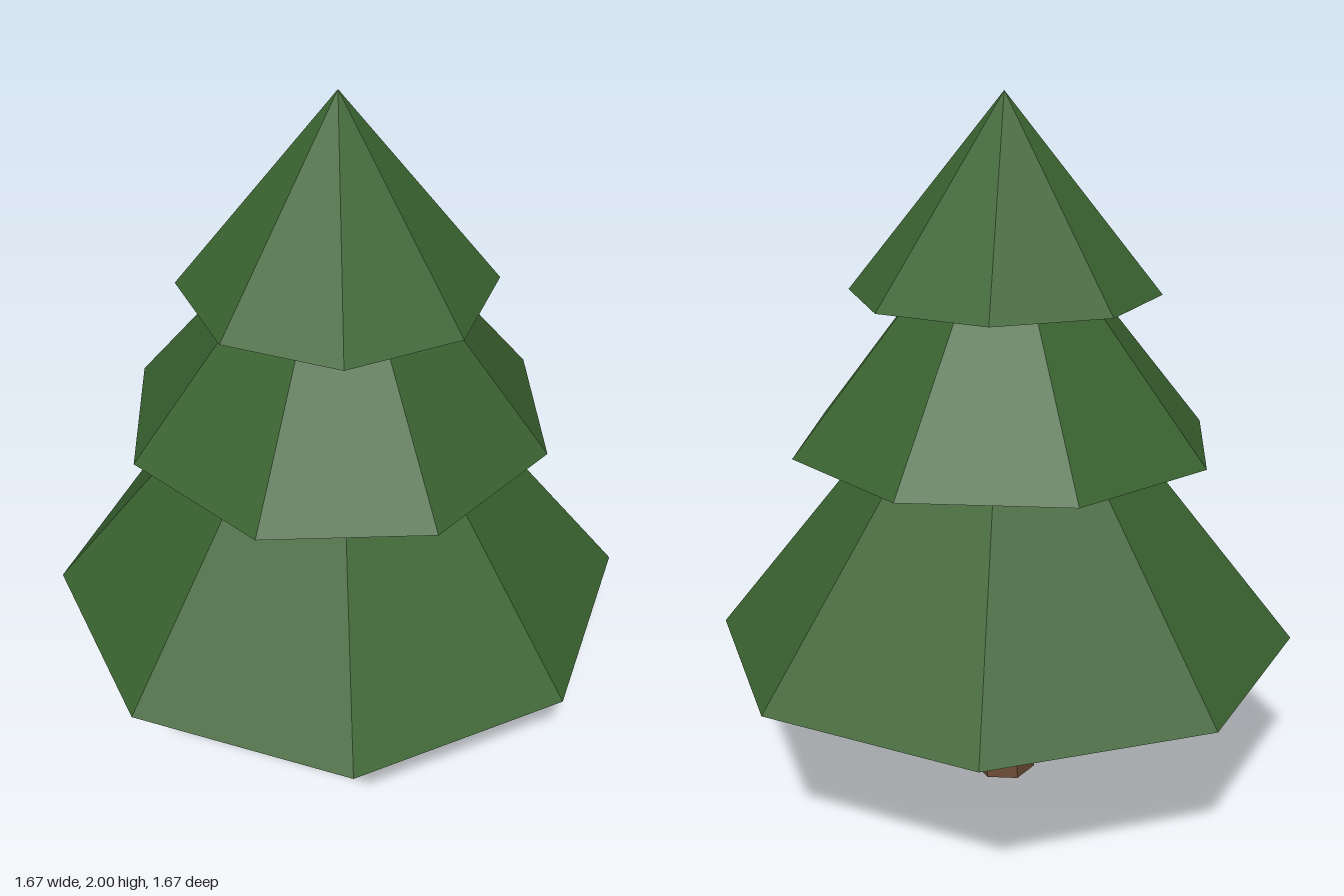
import * as THREE from 'three';

export function createModel() {
  const tree = new THREE.Group();
  tree.name = 'pineTree';

  const needles = new THREE.MeshStandardMaterial({ color: 0x3a6230 });
  needles.name = 'needle green';
  const bark = new THREE.MeshStandardMaterial({ color: 0x6b4c35 });
  bark.name = 'bark brown';

  // Faceted solids: flat normals on every side
  function addPart(name, geometry, material, y, turn) {
    const flat = geometry.toNonIndexed();
    flat.computeVertexNormals();
    const mesh = new THREE.Mesh(flat, material);
    mesh.name = name;
    mesh.position.y = y;
    mesh.rotation.y = turn;
    tree.add(mesh);
  }

  // Tapered six-sided trunk, corners on the x axis
  addPart('trunk', new THREE.CylinderGeometry(0.073, 0.09, 0.5, 6), bark, 0.25, Math.PI / 2);

  // Three eight-sided tiers, each turned a little further than the one below
  const tiers = [
    { name: 'lowerTier', radius: 0.835, base: 0.45, tip: 1.5 },
    { name: 'middleTier', radius: 0.605, base: 1.037, tip: 1.785 },
    { name: 'upperTier', radius: 0.433, base: 1.46, tip: 2 },
  ];
  tiers.forEach(({ name, radius, base, tip }, i) => {
    const height = tip - base;
    addPart(name, new THREE.ConeGeometry(radius, height, 8), needles, base + height / 2, -0.4 * i);
  });

  return tree;
}
